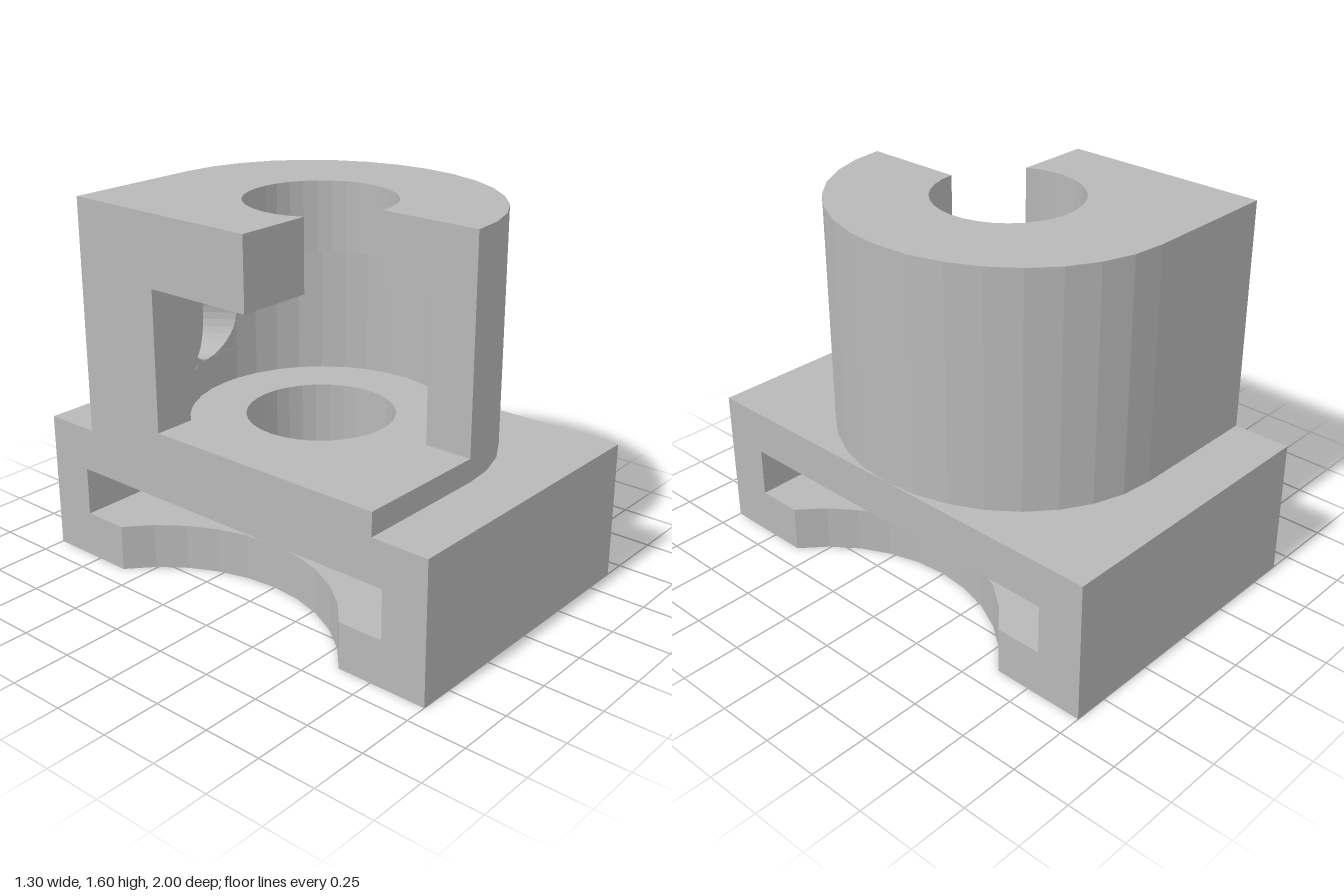
import * as THREE from 'three';

const CX = -0.05;       // x of the vertical bore axis
const BORE = 0.31, CAVITY = 0.54;

// Points (x, z) on an arc round (cx, 0); angle 0 points to +z, growing towards +x
function arc(cx, rx, rz, a0, a1, n) {
  return Array.from({ length: n + 1 }, (_, i) => {
    const a = a0 + (a1 - a0) * i / n;
    return [cx + rx * Math.sin(a), rz * Math.cos(a)];
  });
}

// Horizontal slab with a plan outline of (x, z) points, from y0 to y1
function slab(name, points, y0, y1, material, hole) {
  const toV = ([x, z]) => new THREE.Vector2(x, -z);
  const shape = new THREE.Shape(points.map(toV));
  if (hole) shape.holes.push(new THREE.Path(hole.map(toV)));
  const geo = new THREE.ExtrudeGeometry(shape, { depth: y1 - y0, bevelEnabled: false });
  geo.rotateX(-Math.PI / 2).translate(0, y0, 0);
  const mesh = new THREE.Mesh(geo, material);
  mesh.name = name;
  return mesh;
}

export function createModel() {
  const group = new THREE.Group();
  group.name = 'slottedBlock';
  const grey = new THREE.MeshStandardMaterial({ color: 0xb8b8b8 });
  grey.name = 'grey';
  const add = (...args) => group.add(slab(args[0], args[1], args[2], args[3], grey, args[4]));

  const rect = (x0, x1, z0, z1) => [[x0, z0], [x1, z0], [x1, z1], [x0, z1]];
  const bore = arc(CX, BORE, BORE, 0, Math.PI * 2, 32).slice(0, -1);

  // Base: scalloped bottom plate, two rails, roof pierced by the bore
  const half = Math.asin(0.6 / 0.75);
  add('bottomPlate', [
    [-0.65, -1], [0.65, -1],
    ...arc(1.1, 0.75, 0.75, -Math.PI / 2 - half, -Math.PI / 2 + half, 10),
    [0.65, 1], [-0.65, 1],
    ...arc(-1.1, 0.75, 0.75, Math.PI / 2 - half, Math.PI / 2 + half, 10),
  ], 0, 0.2);
  add('frontRail', rect(-0.65, 0.65, 0.8, 1), 0.2, 0.41);
  add('backRail', rect(-0.65, 0.65, -1, -0.8), 0.2, 0.41);
  add('slotRoof', rect(-0.65, 0.65, -1, 1), 0.41, 0.6, bore);

  // Tower outline: straight on the left of the plan, half an ellipse on the right
  const outer = [[-0.65, -0.75], ...arc(CX, 0.7, 0.75, Math.PI, 0, 16)];
  add('towerFoot', [...outer, [-0.65, 0.75]], 0.6, 0.7, bore);

  // Blind cross hole: floor points and where they meet the cavity wall
  const R = 0.155, Y = 1, tilt = 0.593, N = 16;
  const ax = Math.sin(tilt), az = Math.cos(tilt);
  const floorPoint = (c) => [-0.2 + R * c * az, -0.57 - R * c * ax];
  const mouthPoint = (c) => {
    const [x, z] = floorPoint(c);
    const b = (x - CX) * ax + z * az;
    const q = (x - CX) ** 2 + z * z - CAVITY ** 2;
    const t = -b - Math.sqrt(Math.max(0, b * b - q));
    return [x + ax * t, z + az * t];
  };
  const angleOf = ([x, z]) => (Math.atan2(x - CX, z) + Math.PI * 2) % (Math.PI * 2);
  const aRight = angleOf(mouthPoint(1)), aLeft = angleOf(mouthPoint(-1));

  // Cavity walls: open pocket towards the front left, notched at the cross hole
  const aEnd = angleOf([-0.47, -0.34]);
  const cavity = (a0, a1, n) => arc(CX, CAVITY, CAVITY, a0, a1, n);
  const before = cavity(0, aRight, 16), between = cavity(aRight, aLeft, 4), after = cavity(aLeft, aEnd, 3);
  const plain = [...outer, ...before, ...between.slice(1, -1), ...after, [-0.65, -0.34]];
  const notched = [...outer, ...before, floorPoint(1), floorPoint(-1), ...after, [-0.65, -0.34]];
  add('cavityWallLower', plain, 0.7, Y - R);
  add('cavityWallMiddle', notched, Y - R, Y + R);
  add('cavityWallUpper', plain, Y + R, 1.3);

  // Round lining of the cross hole and the cavity wall around its mouth
  const pos = [];
  const quad = (a, b, c, d, flip) => {
    const order = flip ? [a, c, b, a, d, c] : [a, b, c, a, c, d];
    order.forEach((p) => pos.push(...p));
  };
  for (const s of [1, -1]) {
    for (let i = 0; i < N; i++) {
      const [p, q] = [i, i + 1].map((k) => {
        const phi = Math.PI * k / N, c = Math.cos(phi);
        const y = Y + s * R * Math.sin(phi);
        const [fx, fz] = floorPoint(c), [mx, mz] = mouthPoint(c);
        return { floor: [fx, y, fz], mouth: [mx, y, mz], edge: [mx, Y + s * R, mz] };
      });
      quad(p.mouth, p.edge, q.edge, q.mouth, s < 0);
      quad(p.floor, p.mouth, q.mouth, q.floor, s < 0);
    }
  }
  const lining = new THREE.BufferGeometry();
  lining.setAttribute('position', new THREE.Float32BufferAttribute(pos, 3));
  lining.computeVertexNormals();
  const holeMesh = new THREE.Mesh(lining, grey);
  holeMesh.name = 'crossHole';
  group.add(holeMesh);

  // Top ring with its side opening
  const aTop = Math.PI * 2 - Math.acos(0.15 / BORE);
  add('topRing', [...outer, ...arc(CX, BORE, BORE, 0, aTop, 27), [-0.65, 0.15]], 1.3, 1.6);

  return group;
}
